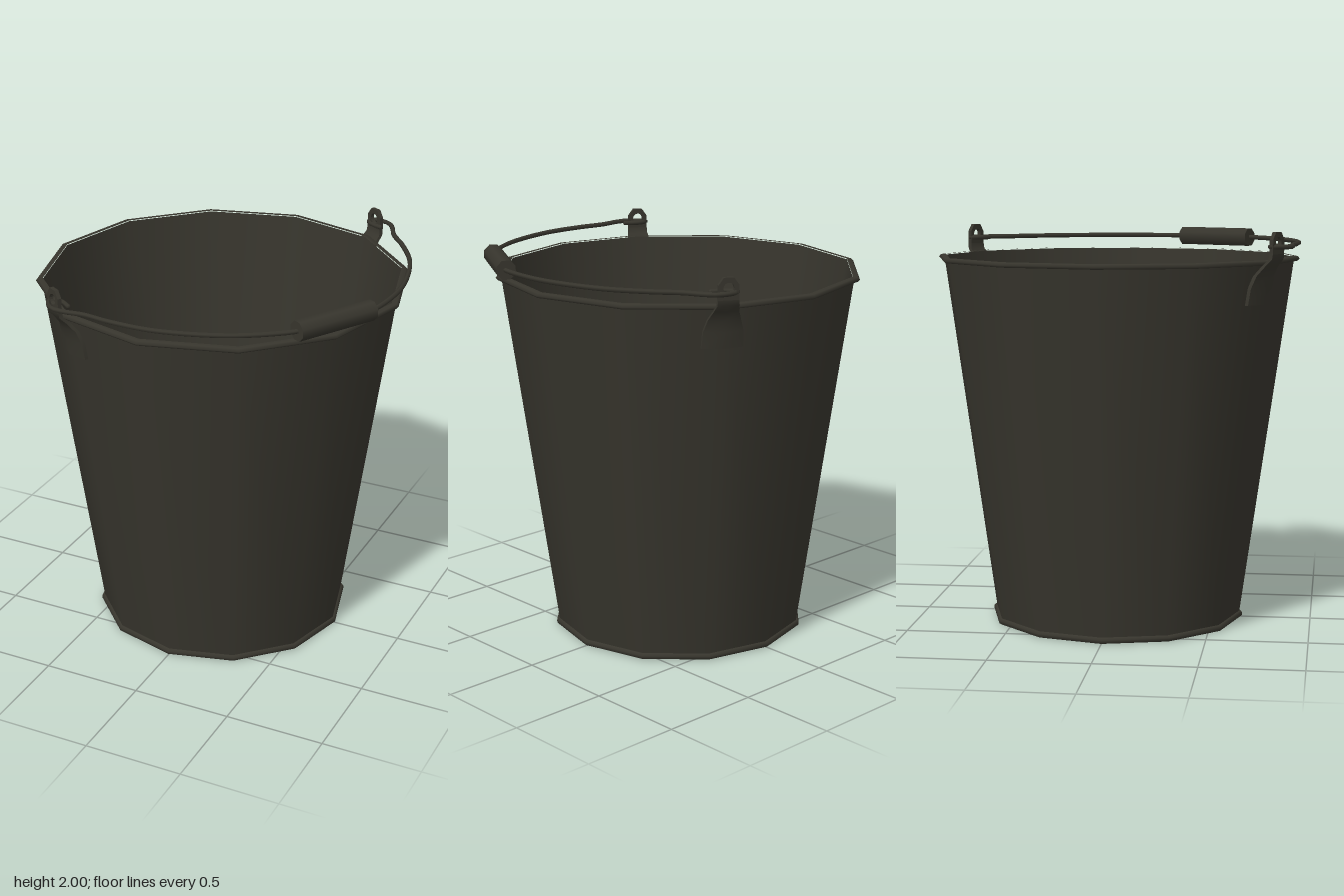
import * as THREE from 'three';

const SIDES = 12;

export function createModel() {
  const root = new THREE.Group();
  root.name = 'bucket';
  const metal = new THREE.MeshStandardMaterial({ color: 0x37352d });
  metal.name = 'dark metal';

  const add = (parent, name, geometry) => {
    const mesh = new THREE.Mesh(geometry, metal);
    mesh.name = name;
    parent.add(mesh);
    return mesh;
  };
  const lathe = (name, points) =>
    add(root, name, new THREE.LatheGeometry(points.map(p => new THREE.Vector2(...p)), SIDES));

  // Tapered twelve-sided shell with rolled rim and foot bead
  lathe('outerWall', [[0.634, 0.02], [0.893, 1.845]]);
  lathe('innerWall', [[0.887, 1.86], [0.627, 0.02]]);
  lathe('rim', [[0.888, 1.838], [0.912, 1.84], [0.922, 1.851], [0.912, 1.863], [0.887, 1.864]]);
  lathe('footBead', [[0.64, 0.004], [0.65, 0.01], [0.651, 0.024], [0.643, 0.033], [0.632, 0.035]]);
  const floor = add(root, 'innerFloor', new THREE.CircleGeometry(0.63, SIDES));
  floor.rotation.x = -Math.PI / 2;
  floor.position.y = 0.021;
  const base = add(root, 'underside', new THREE.CircleGeometry(0.641, SIDES));
  base.rotation.x = Math.PI / 2;
  base.position.y = 0.004;

  // Handle assembly, turned so that the ears sit on opposite corners of the shell
  const fittings = new THREE.Group();
  fittings.name = 'handleAssembly';
  fittings.rotation.y = -Math.PI / 6;
  root.add(fittings);

  // Ear plate rows: height, half width, distance out, fold around the corner
  const rows = [
    [1.65, 0.1, 0.873, 0.268], [1.73, 0.096, 0.885, 0.268], [1.79, 0.078, 0.898, 0.25],
    [1.835, 0.06, 0.922, 0.15], [1.87, 0.052, 0.948, 0], [1.9, 0.05, 0.952, 0],
  ];
  const plate = new THREE.BoxGeometry(2, rows.length - 1, 0.02, 2, rows.length - 1, 1);
  const pos = plate.attributes.position;
  for (let i = 0; i < pos.count; i++) {
    const [y, half, out, fold] = rows[Math.round(pos.getY(i) + (rows.length - 1) / 2)];
    const x = pos.getX(i) * half;
    pos.setXYZ(i, x, y, out + pos.getZ(i) - Math.abs(x) * fold);
  }
  plate.computeVertexNormals();

  // Upright lug with the handle hole
  const lugShape = new THREE.Shape([
    [-0.05, 1.895], [0.05, 1.895], [0.049, 1.965], [0.024, 2], [-0.024, 2], [-0.049, 1.965],
  ].map(p => new THREE.Vector2(...p)));
  const hole = new THREE.Path();
  hole.absarc(0, 1.95, 0.026, 0, Math.PI * 2, true);
  lugShape.holes.push(hole);
  const lug = new THREE.ExtrudeGeometry(lugShape, { depth: 0.02, bevelEnabled: false, curveSegments: 8 });
  lug.translate(0, 0, 0.942);

  for (const [name, turn] of [['frontEar', 0], ['backEar', Math.PI]]) {
    const ear = new THREE.Group();
    ear.name = name;
    ear.rotation.y = turn;
    add(ear, 'earPlate', plate);
    add(ear, 'earLug', lug);
    fittings.add(ear);
  }

  // Wire handle lying flat, mirrored about its middle, with curled ends
  const half = [
    [0.905, 0.2], [0.88, 0.285], [0.767, 0.5], [0.54, 0.738], [0.335, 0.857], [0.2, 0.912],
    [0.12, 0.968], [0.061, 0.995], [0.008, 0.988], [-0.045, 0.95], [0.003, 0.917], [0.075, 0.922],
  ];
  const path = [...half.map(([x, z]) => [x, -z]).reverse(), [0.905, 0], ...half];
  const curve = new THREE.CatmullRomCurve3(path.map(([x, z]) => new THREE.Vector3(x, 1.93, z)));
  add(fittings, 'wireHandle', new THREE.TubeGeometry(curve, 100, 0.012, 6));
  for (const end of [0, 1]) {
    const cap = add(fittings, 'wireEnd', new THREE.SphereGeometry(0.012, 6, 4));
    cap.position.copy(curve.getPoint(end));
  }

  // Hand grip
  const grip = add(fittings, 'grip', new THREE.CylinderGeometry(0.05, 0.05, 0.43, 8));
  grip.rotation.set(Math.PI / 2, Math.PI / 8, 0);
  grip.position.set(0.9, 1.93, 0);

  return root;
}
